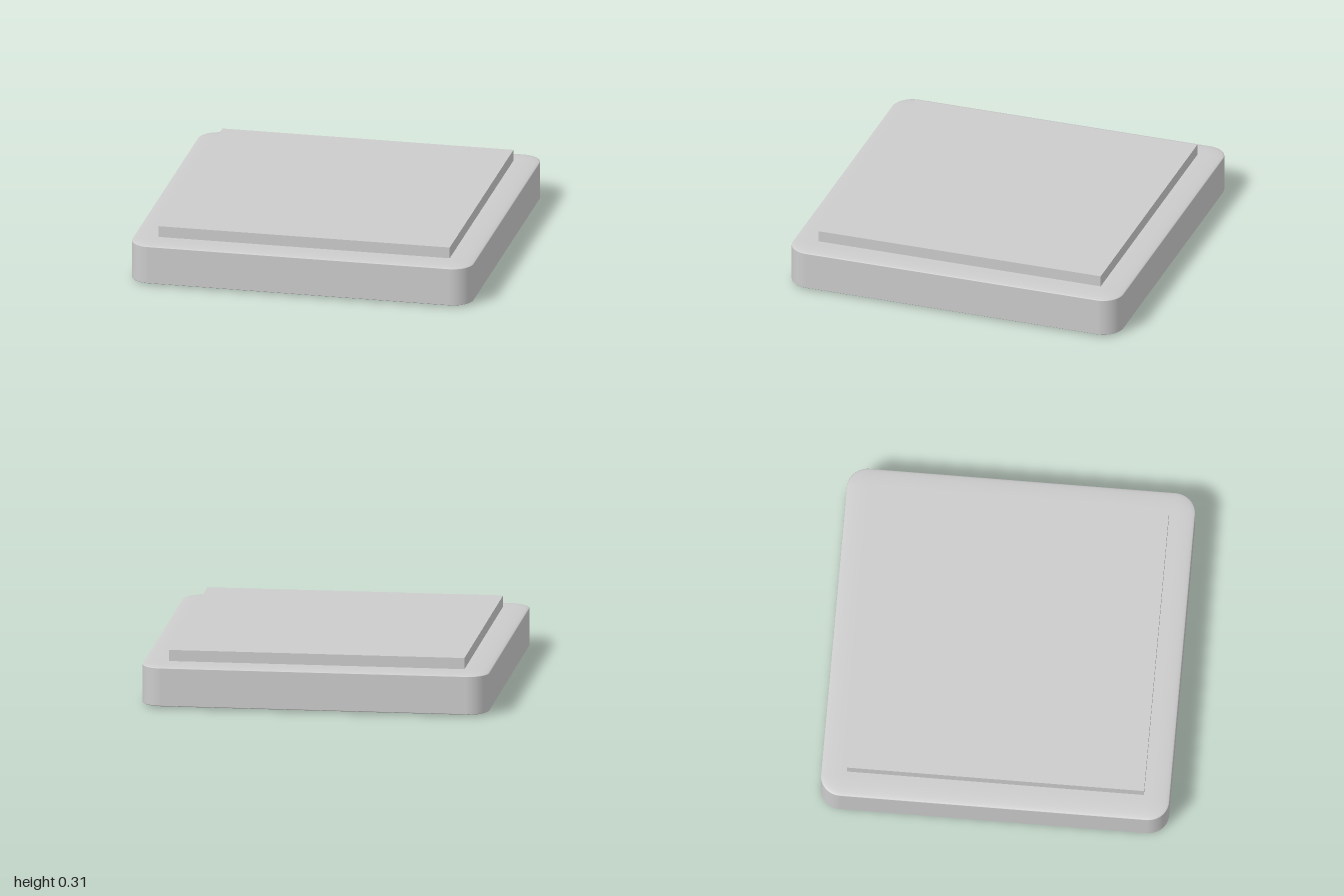
import * as THREE from 'three';
import { RoundedBoxGeometry } from 'three/addons/geometries/RoundedBoxGeometry.js';

export function createModel() {
  const group = new THREE.Group();
  const material = new THREE.MeshStandardMaterial({ color: 0xcccccc });

  // Rounded slab: wide plan corners, edges flattened vertically
  const height = 0.245, corner = 0.12, squash = 0.12;
  const slab = new RoundedBoxGeometry(2, height / squash, 2, 8, corner);
  slab.scale(1, squash, 1);
  const base = new THREE.Mesh(slab, material);
  base.name = 'base';
  base.position.y = height / 2;
  group.add(base);

  // Sharp-edged square plate, seated slightly into the base
  const bottom = 0.235, top = 0.31;
  const plate = new THREE.Mesh(new THREE.BoxGeometry(1.706, top - bottom, 1.706), material);
  plate.name = 'topPlate';
  plate.position.y = (bottom + top) / 2;
  group.add(plate);

  return group;
}
